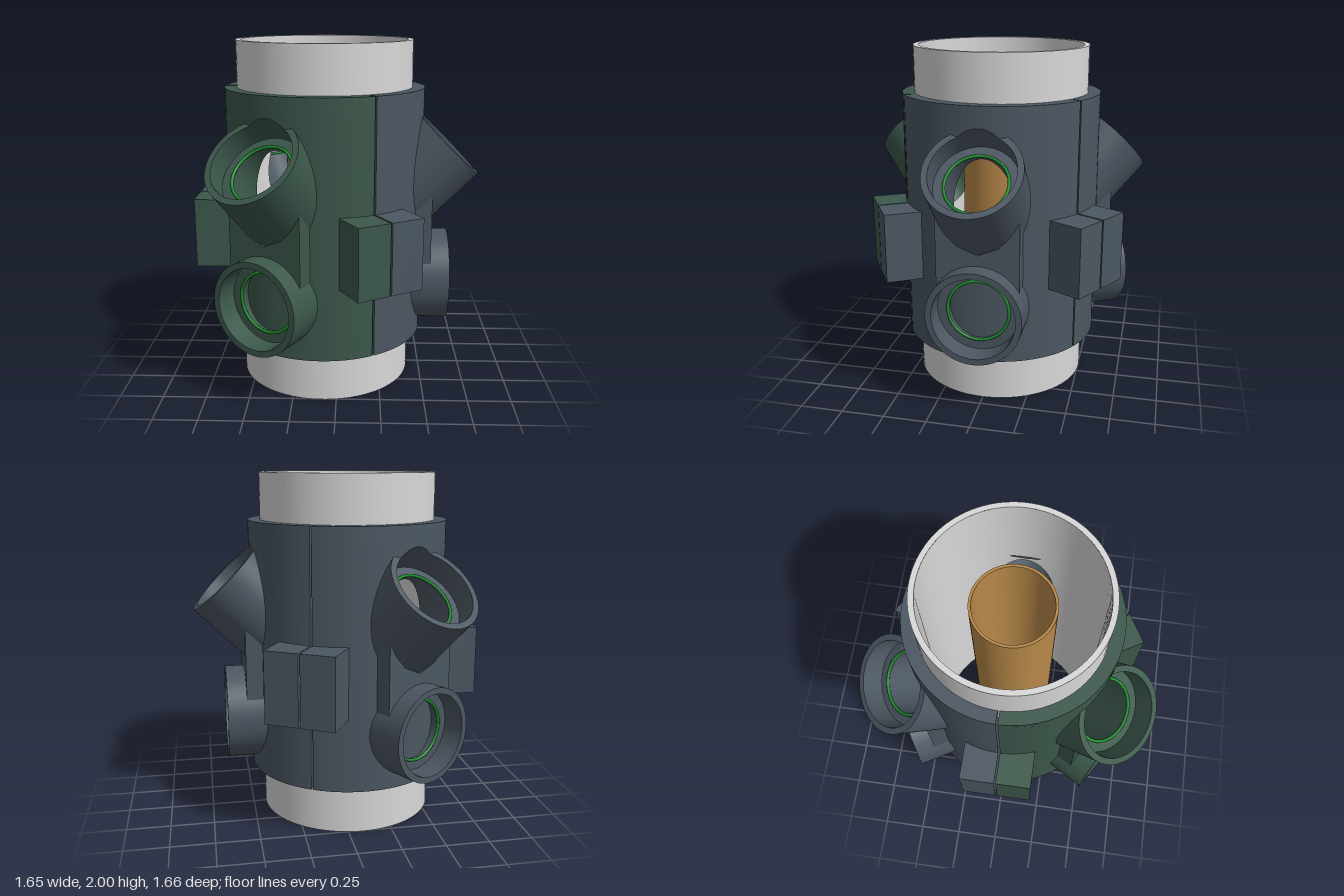
import * as THREE from 'three';
import { mergeGeometries } from 'three/addons/utils/BufferGeometryUtils.js';

const N = 128;                       // points in every loop
const DEG = Math.PI / 180;
const PIPE_OUT = 0.505, PIPE_IN = 0.475, SLEEVE = 0.575;
const BORE = 0.175, SOCKET = 0.235, RIM = 0.27, DEPTH = 0.13;

// Sockets lie in the local x-y plane: mouth centre and upward tilt
const UPPER = { x: 0.71, y: 1.42, tilt: 45 * DEG };
const LOWER = { x: 0.73, y: 0.6, tilt: 0 };

const loop = (fn) => Array.from({ length: N }, (_, i) => fn((i / N) * Math.PI * 2));

// Smooth surface through closed loops
function loft(rows) {
  const pos = [], idx = [];
  rows.forEach((row) => row.forEach((p) => pos.push(p.x, p.y, p.z)));
  for (let j = 0; j < rows.length - 1; j++) {
    for (let i = 0; i < N; i++) {
      const k = (i + 1) % N;
      const a = j * N + i, b = a + N, c = (j + 1) * N + k, d = j * N + k;
      idx.push(a, b, c, a, c, d);
    }
  }
  const geo = new THREE.BufferGeometry();
  geo.setAttribute('position', new THREE.Float32BufferAttribute(pos, 3));
  geo.setIndex(idx);
  geo.computeVertexNormals();
  return geo;
}

// Surface with a sharp edge at every loop
const skin = (rows) => mergeGeometries(rows.slice(1).map((row, j) => loft([rows[j], row])));

const circle = (r, y) => loop((a) => new THREE.Vector3(r * Math.cos(a), y, -r * Math.sin(a)));

// Loop of radius r around a socket axis, at distance s(angle) from its mouth
function socketLoop(port, r, s) {
  const c = Math.cos(port.tilt), n = Math.sin(port.tilt);
  return loop((a) => {
    const d = s(a), h = r * Math.sin(a);
    return new THREE.Vector3(port.x + d * c - h * n, port.y + d * n + h * c, -r * Math.cos(a));
  });
}

// Distance along the socket at which it meets the upright cylinder of radius R
const meet = (port, r, R) => (a) =>
  (Math.sqrt(R * R - (r * Math.cos(a)) ** 2) - port.x + r * Math.sin(a) * Math.sin(port.tilt)) / Math.cos(port.tilt);

// Border of a curved panel as [angle, height]
const border = (half, y0, y1) => loop((a) => {
  const m = Math.max(Math.abs(Math.cos(a)), Math.abs(Math.sin(a)));
  return [-half * Math.cos(a) / m, (y0 + y1) / 2 + (y1 - y0) / 2 * Math.sin(a) / m];
});
const bend = ([t, y], R) => new THREE.Vector3(R * Math.cos(t), y, R * Math.sin(t));

// Curved panel with an opening for the upper socket
function panel(R, holeR, edge, inward) {
  const hole = socketLoop(UPPER, holeR, meet(UPPER, holeR, R)).map((p) => [Math.atan2(p.z, p.x), p.y]);
  const rows = [];
  for (let j = 0; j <= 10; j++) {
    const f = j / 10;
    rows.push(hole.map((h, i) => bend([
      THREE.MathUtils.lerp(h[0], edge[i][0], f),
      THREE.MathUtils.lerp(h[1], edge[i][1], f)], R)));
  }
  const geo = loft(inward ? rows.reverse() : rows);
  const p = geo.attributes.position, sign = inward ? -1 / R : 1 / R;
  for (let i = 0; i < p.count; i++) geo.attributes.normal.setXYZ(i, p.getX(i) * sign, 0, p.getZ(i) * sign);
  return geo;
}

// Stepped socket: bore, ledge, counterbore, rim and outer wall
function socketGeometry(port, boreEndR) {
  const atSleeve = meet(port, SOCKET, SLEEVE), buried = meet(port, RIM, 0.52);
  return skin([
    socketLoop(port, BORE, meet(port, BORE, boreEndR)),
    socketLoop(port, BORE, () => -DEPTH),
    socketLoop(port, SOCKET, () => -DEPTH),
    socketLoop(port, SOCKET, (a) => Math.max(0, atSleeve(a))),
    socketLoop(port, RIM, () => 0),
    socketLoop(port, RIM, (a) => Math.min(0, buried(a))),
  ]);
}

// Web joining the two sockets
function webGeometry() {
  const pts = [[-0.235, 0.72], [-0.12, 0.82], [0, 0.85], [0.12, 0.82], [0.235, 0.72],
    [0.235, 1.13], [0.12, 0.98], [0, 0.93], [-0.12, 0.98], [-0.235, 1.13]];
  const shape = new THREE.Shape(pts.map(([x, y]) => new THREE.Vector2(x, y)));
  const geo = new THREE.ExtrudeGeometry(shape, { depth: 0.1, bevelEnabled: false });
  return geo.translate(0, 0, 0.52).rotateY(Math.PI / 2);
}

export function createModel() {
  const mat = (name, color) => {
    const m = new THREE.MeshStandardMaterial({ color });
    m.name = name;
    return m;
  };
  const green = mat('dark green', 0x3c584b);
  const slate = mat('slate', 0x4c5762);
  const grey = mat('light grey', 0xd8d8d8);
  const copper = mat('copper', 0xb88849);
  const seal = mat('seal green', 0x1f8a30);

  const model = new THREE.Group();
  model.name = 'pipeManifold';
  const body = new THREE.Group();
  body.name = 'body';
  body.position.x = -0.08;
  model.add(body);
  const add = (parent, name, geo, material) => {
    const mesh = new THREE.Mesh(geo, material);
    mesh.name = name;
    parent.add(mesh);
    return mesh;
  };

  // Inner tube and rims of the main pipe
  add(body, 'innerTube', skin([circle(0.21, 0.13), circle(0.21, 1.87), circle(0.225, 1.87),
    circle(0.225, 0.13), circle(0.21, 0.13)]), copper);
  add(body, 'pipeTopRim', skin([circle(PIPE_IN, 2), circle(PIPE_OUT, 2)]), grey);
  add(body, 'pipeBottomRim', skin([circle(PIPE_OUT, 0), circle(PIPE_IN, 0)]), grey);

  // Shared geometry of one third
  const pipeEdge = border(60 * DEG, 0, 2);
  const sleeveEdge = border(60 * DEG - 0.009, 0.275, 1.735);
  const pipeOuter = panel(PIPE_OUT, SOCKET, pipeEdge, false);
  const pipeInner = panel(PIPE_IN, BORE, pipeEdge, true);
  const shell = panel(SLEEVE, SOCKET, sleeveEdge, false);
  const shellEdge = loft([SLEEVE, PIPE_OUT].map((R) => sleeveEdge.map((e) => bend(e, R)))).toNonIndexed();
  shellEdge.computeVertexNormals();
  const upperSocket = socketGeometry(UPPER, PIPE_IN);
  const lowerSocket = socketGeometry(LOWER, 0.54);
  const web = webGeometry();
  const sealRing = new THREE.TorusGeometry(BORE, 0.009, 8, 64).rotateY(Math.PI / 2);
  const lug = new THREE.BoxGeometry(0.23, 0.405, 0.195);

  [['left', 0, slate], ['backRight', 120, slate], ['frontRight', 240, green]].forEach(([name, angle, colour]) => {
    const third = new THREE.Group();
    third.name = name + 'Third';
    third.rotation.y = angle * DEG;
    body.add(third);

    add(third, 'pipeOuterWall', pipeOuter, grey);
    add(third, 'pipeInnerWall', pipeInner, grey);
    add(third, 'sleeveShell', shell, colour);
    add(third, 'sleeveEdge', shellEdge, colour);
    add(third, 'upperSocket', upperSocket, colour);
    add(third, 'lowerSocket', lowerSocket, colour);
    add(third, 'socketWeb', web, colour);

    // Seal rings on the socket ledges
    for (const port of [UPPER, LOWER]) {
      const ring = add(third, 'sealRing', sealRing, seal);
      const s = -DEPTH + 0.004;
      ring.position.set(port.x + s * Math.cos(port.tilt), port.y + s * Math.sin(port.tilt), 0);
      ring.rotation.z = port.tilt;
    }

    // Clamp lugs beside each split
    for (const side of [-1, 1]) {
      const pivot = new THREE.Group();
      pivot.name = 'clampLug';
      pivot.rotation.y = side * 60 * DEG;
      third.add(pivot);
      add(pivot, 'lugBlock', lug, colour).position.set(0.635, 0.8975, side * 0.1025);
    }
  });
  return model;
}
